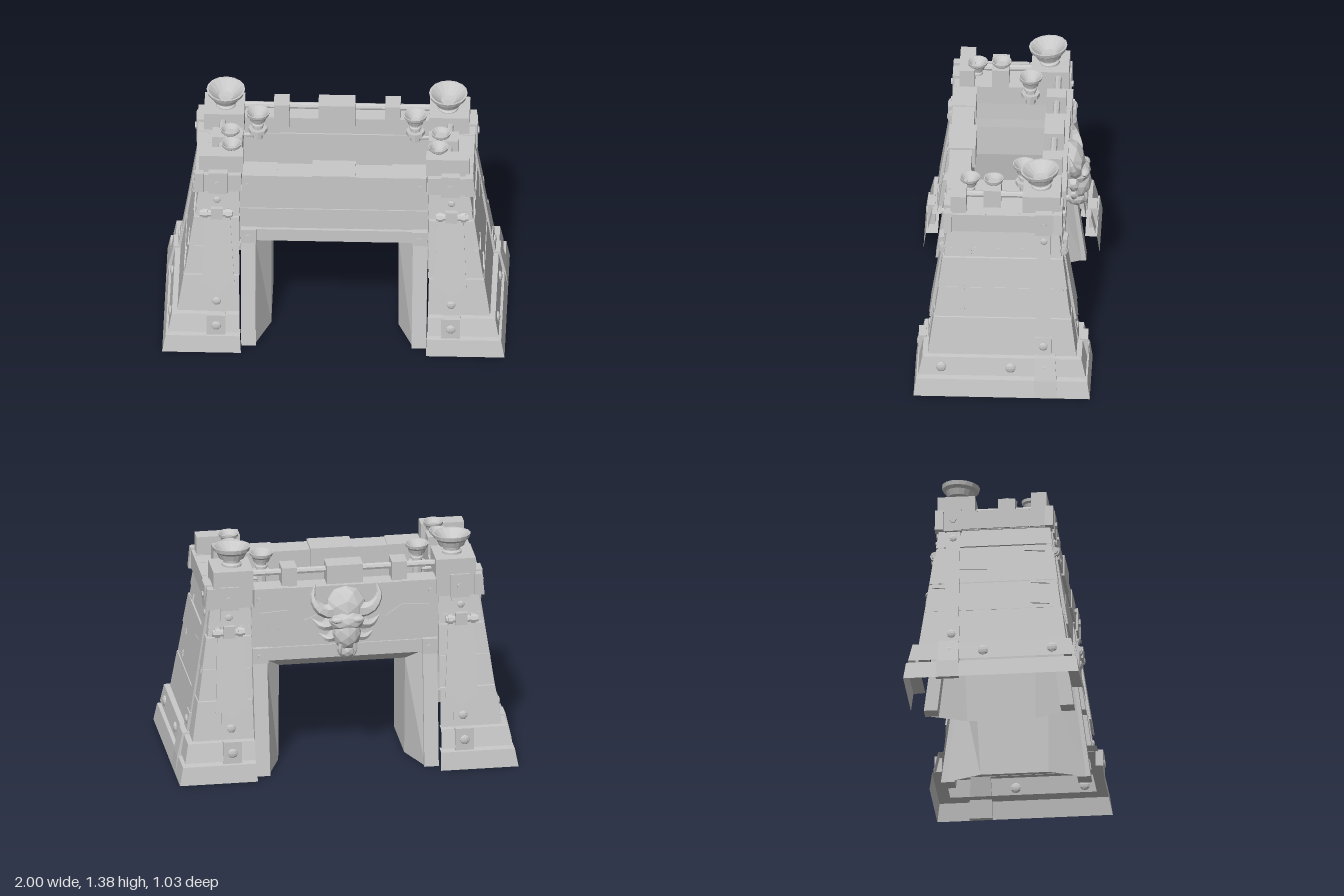
import * as THREE from 'three';

const stone = new THREE.MeshStandardMaterial({ color: 0xc8c8c8, side: THREE.DoubleSide });
stone.name = 'grey stone';

function add(parent, name, geo, x = 0, y = 0, z = 0) {
  const g = geo.index ? geo.toNonIndexed() : geo;
  g.computeVertexNormals(); // faceted look
  const m = new THREE.Mesh(g, stone);
  m.name = name;
  m.position.set(x, y, z);
  parent.add(m);
  return m;
}

function group(parent, name) {
  const g = new THREE.Group();
  g.name = name;
  parent.add(g);
  return g;
}

// rectangular loft; each section is [y, x0, x1, z0, z1]; sides counts faces from the front round to the inner side
function loft(parent, name, secs, caps = true, sides = 4) {
  const pos = [];
  const ring = ([y, a, b, c, d]) => [[a, y, d], [b, y, d], [b, y, c], [a, y, c]];
  const quad = (p, q, r, s) => pos.push(...p, ...q, ...r, ...p, ...r, ...s);
  for (let i = 0; i < secs.length - 1; i++) {
    const l = ring(secs[i]), u = ring(secs[i + 1]);
    for (let k = 0; k < sides; k++) quad(l[k], l[(k + 1) % 4], u[(k + 1) % 4], u[k]);
  }
  if (caps) {
    const b = ring(secs[0]), t = ring(secs[secs.length - 1]);
    quad(t[0], t[1], t[2], t[3]);
    quad(b[3], b[2], b[1], b[0]);
  }
  const g = new THREE.BufferGeometry();
  g.setAttribute('position', new THREE.Float32BufferAttribute(pos, 3));
  return add(parent, name, g);
}

const box = (p, name, x0, x1, y0, y1, z0, z1) => loft(p, name, [[y0, x0, x1, z0, z1], [y1, x0, x1, z0, z1]]);

// hollow course whose top edge turns inward; low courses are open towards the passage
function shell(p, name, lo, hi, inset) {
  const [y, a, b, c, d] = hi;
  loft(p, name, [lo, hi, [y + 0.004, a, b - inset, c + inset, d - inset]], false, y < 0.7 ? 3 : 4);
}

function stud(p, x, y, z, axis, r = 0.03) {
  const m = add(p, 'stud', new THREE.SphereGeometry(r, 10, 6), x, y, z);
  m.scale[axis] = 0.45;
}

function bolt(p, x, y, z, axis, r = 0.02) {
  const m = add(p, 'hexBolt', new THREE.CylinderGeometry(r, r, 0.016, 6), x, y, z);
  if (axis === 'z') m.rotation.x = Math.PI / 2; else m.rotation.z = Math.PI / 2;
}

function rod(p, name, a, b, r) {
  const A = new THREE.Vector3(...a), B = new THREE.Vector3(...b), d = B.clone().sub(A);
  const m = add(p, name, new THREE.CylinderGeometry(r, r, d.length(), 8));
  m.position.copy(A).add(B).multiplyScalar(0.5);
  m.quaternion.setFromUnitVectors(new THREE.Vector3(0, 1, 0), d.normalize());
}

// fire bowl: unit profile scaled by radius and height
function bowl(p, name, x, y, z, r, h) {
  const prof = [[0, 0], [0.52, 0], [0.52, 0.12], [0.42, 0.2], [0.45, 0.34], [0.65, 0.4], [0.78, 0.68], [0.94, 0.8], [1, 1], [0.9, 1], [0.38, 0.55], [0, 0.52]];
  return add(p, name, new THREE.LatheGeometry(prof.map(([a, b]) => new THREE.Vector2(a * r, b * h)), 16), x, y, z);
}

function extrude(pts, depth) {
  return new THREE.ExtrudeGeometry(new THREE.Shape(pts.map(([a, b]) => new THREE.Vector2(a, b))), { depth, bevelEnabled: false });
}

const bodyX = (y) => 0.91 - 0.12 * (y - 0.24) / 0.79;
const bodyZ = (y) => 0.43 - 0.105 * (y - 0.24) / 0.79;

// front or back dressing of a tower, built facing +z
function towerFace(p) {
  loft(p, 'strap', [[0.24, 0.63, 0.74, 0.4, bodyZ(0.24) + 0.01], [1.03, 0.63, 0.735, 0.29, bodyZ(1.03) + 0.01]]);
  box(p, 'footPlate', 0.63, 0.74, 0.115, 0.25, 0.45, 0.495);
  stud(p, 0.685, 0.18, 0.493, 'z');
  stud(p, 0.685, 0.31, 0.43, 'z', 0.027);
  stud(p, 0.685, 0.975, 0.343, 'z', 0.022);
  box(p, 'capPlate', 0.625, 0.735, 1.02, 1.165, 0.3, 0.347);
  bolt(p, 0.68, 1.09, 0.35, 'z');
  // banner on its rod
  rod(p, 'bannerRod', [0.595, 0.885, 0.35], [0.785, 0.885, 0.35], 0.022);
  for (const x of [0.62, 0.755]) rod(p, 'rodClamp', [x - 0.014, 0.885, 0.35], [x + 0.014, 0.885, 0.35], 0.03);
  box(p, 'rodBracket', 0.65, 0.72, 0.855, 0.93, 0.32, 0.375);
  const cloth = extrude([[0.61, 0.02], [0.755, 0.02], [0.775, -0.475], [0.755, -0.45], [0.675, -0.515], [0.605, -0.44], [0.58, -0.46]], 0.01);
  add(p, 'banner', cloth, 0, 0.88, 0.35).rotation.x = -0.15;
  // doorway jamb leaning with the tower
  loft(p, 'jamb', [[0, 0.455, 0.54, 0.36, 0.44], [0.69, 0.46, 0.545, 0.28, 0.35]]);
  box(p, 'jambCorner', 0.455, 0.545, 0.68, 0.775, 0.28, 0.362);
  bolt(p, 0.5, 0.725, 0.365, 'z', 0.018);
}

function tower(p) {
  // stepped base and courses
  shell(p, 'base', [0, 0.54, 1, -0.515, 0.515], [0.108, 0.545, 0.98, -0.5, 0.5], 0.07);
  shell(p, 'baseBand', [0.128, 0.55, 0.965, -0.49, 0.49], [0.24, 0.55, 0.945, -0.465, 0.465], 0.06);
  const ys = [0.24, 0.48, 0.67, 0.86, 0.92, 1.035];
  for (let i = 0; i < ys.length - 1; i++) {
    const [a, b] = [ys[i], ys[i + 1] - 0.004], o = [0.004, 0, 0.004, -0.004, 0.002][i];
    shell(p, 'course', [a, 0.55, bodyX(a) + o, -bodyZ(a) - o, bodyZ(a) + o], [b, 0.555, bodyX(b) + o, -bodyZ(b) - o, bodyZ(b) + o], 0.03);
  }
  // cap band with separate blocks
  box(p, 'capBand', 0.545, 0.8, 1.03, 1.145, -0.335, 0.335);
  for (const [a, b] of [[0.21, 0.295], [0.1, 0.205], [-0.095, 0.095], [-0.19, -0.1]]) box(p, 'capBlock', 0.74, 0.81, 1.034, 1.15, a, b);
  for (const f of [1, -1]) {
    const [c, d] = f > 0 ? [0.298, 0.347] : [-0.347, -0.298];
    loft(p, 'capCorner', [[1.03, 0.765, 0.825, c, d], [1.16, 0.765, 0.813, c, d]]);
  }
  // side strap
  loft(p, 'sideStrap', [[0.24, 0.87, bodyX(0.24) + 0.014, -0.285, -0.2], [1.03, 0.75, bodyX(1.03) + 0.014, -0.28, -0.2]]);
  loft(p, 'sideStrapFoot', [[0, 0.97, 1, -0.325, -0.19], [0.11, 0.95, 0.987, -0.32, -0.19], [0.25, 0.91, 0.955, -0.31, -0.195]]);
  box(p, 'sideCapPlate', 0.77, 0.822, 1.02, 1.165, -0.29, -0.19);
  loft(p, 'sideStudPlate', [[0.26, 0.87, bodyX(0.26) + 0.02, -0.29, -0.195], [0.365, 0.86, bodyX(0.365) + 0.02, -0.29, -0.195]]);
  bolt(p, 0.823, 1.09, -0.24, 'x');
  stud(p, 0.812, 0.975, -0.24, 'x', 0.022);
  stud(p, 0.92, 0.31, -0.24, 'x', 0.027);
  for (const z of [0.355, -0.05, -0.25]) stud(p, 0.957, 0.18, z, 'x', 0.032);
  // chipped slabs lying on the outer face
  for (const [z, y, l] of [[0.33, 0.64, 0.11], [0.33, 0.5, 0.11], [-0.04, 0.755, 0.2], [0.3, 0.865, 0.12], [-0.27, 0.63, 0.09]]) {
    const chip = add(p, 'chip', extrude([[0, 0], [l, 0.01], [l * 0.95, 0.05], [l * 0.7, 0.02]], 0.009), bodyX(y) - 0.001, y, z);
    chip.rotation.set(0, Math.PI / 2, 0.151, 'ZYX');
  }
  // battlements and rail
  box(p, 'rearMerlon', 0.54, 0.775, 1.14, 1.26, -0.335, -0.115);
  box(p, 'middleMerlon', 0.545, 0.72, 1.14, 1.26, 0.015, 0.115);
  box(p, 'frontMerlon', 0.535, 0.79, 1.14, 1.26, 0.215, 0.305);
  rod(p, 'sideRail', [0.665, 1.205, -0.12], [0.665, 1.205, 0.25], 0.02);
  bowl(p, 'largeBowl', 0.65, 1.255, -0.22, 0.113, 0.12).rotation.x = 0.08;
  bowl(p, 'smallBowl', 0.615, 1.2, 0.06, 0.058, 0.085);
  bowl(p, 'smallBowl', 0.605, 1.2, 0.2, 0.06, 0.085);
  // hanging bowl on a bracket
  bowl(p, 'wallBowl', 0.46, 1.19, -0.115, 0.07, 0.095);
  rod(p, 'wallBowlStem', [0.46, 1.1, -0.115], [0.46, 1.2, -0.115], 0.03);
  rod(p, 'wallBowlCollar', [0.46, 1.145, -0.115], [0.46, 1.17, -0.115], 0.055);
  rod(p, 'wallBowlBracket', [0.46, 1.12, -0.115], [0.56, 1.12, -0.115], 0.012);
  for (const f of [1, -1]) {
    const side = group(p, f > 0 ? 'towerFront' : 'towerBack');
    towerFace(side);
    side.scale.z = f;
  }
}

// splayed tunnel lining: each station is [z at floor, z at top, half width, height]
function passage(p) {
  const st = [[0.42, 0.33, 0.46, 0.69], [0.2, 0.2, 0.372, 0.61], [-0.2, -0.23, 0.372, 0.61], [-0.42, -0.33, 0.46, 0.69]];
  const pos = [], idx = [];
  for (const [zb, zt, w, h] of st) pos.push(-w, 0, zb, -w, h, zt, w, h, zt, w, 0, zb);
  for (let i = 0; i < 3; i++) for (let k = 0; k < 3; k++) {
    const a = i * 4 + k;
    idx.push(a, a + 4, a + 1, a + 1, a + 4, a + 5);
  }
  const g = new THREE.BufferGeometry();
  g.setAttribute('position', new THREE.Float32BufferAttribute(pos, 3));
  g.setIndex(idx);
  add(p, 'passageLining', g);
}

// curved tapering horn
function horn(p, name, pts, r) {
  const c = new THREE.CatmullRomCurve3(pts.map((v) => new THREE.Vector3(...v)));
  const g = new THREE.TubeGeometry(c, 8, r, 6), a = g.attributes.position, v = new THREE.Vector3();
  for (let i = 0; i < a.count; i++) {
    const t = Math.floor(i / 7) / 8;
    v.fromBufferAttribute(a, i).lerp(c.getPointAt(t), t * 0.95);
    a.setXYZ(i, v.x, v.y, v.z);
  }
  add(p, name, g);
}

function beastHead(p) {
  const blob = (name, x, y, z, a, b, c) => add(p, name, new THREE.IcosahedronGeometry(1, 1), x, y, z).scale.set(a, b, c);
  blob('skull', 0, 1.0, -0.355, 0.13, 0.14, 0.1);
  blob('brow', 0, 0.945, -0.41, 0.105, 0.07, 0.075);
  blob('snout', 0, 0.87, -0.41, 0.085, 0.11, 0.08);
  blob('jaw', 0, 0.765, -0.4, 0.06, 0.06, 0.065);
  for (const s of [1, -1]) {
    horn(p, 'horn', [[s * 0.06, 1.0, -0.38], [s * 0.14, 1.01, -0.4], [s * 0.195, 1.08, -0.385], [s * 0.18, 1.16, -0.36]], 0.055);
    horn(p, 'cheekSpike', [[s * 0.06, 0.93, -0.37], [s * 0.14, 0.91, -0.39], [s * 0.2, 0.95, -0.37]], 0.055);
    horn(p, 'cheekSpike', [[s * 0.05, 0.85, -0.37], [s * 0.11, 0.83, -0.39], [s * 0.16, 0.86, -0.38]], 0.045);
    horn(p, 'fang', [[s * 0.04, 0.82, -0.455], [s * 0.045, 0.77, -0.46], [s * 0.03, 0.73, -0.45]], 0.018);
    blob('browRidge', s * 0.055, 0.965, -0.45, 0.045, 0.022, 0.03);
    // carved wing relief
    const wing = extrude([[0.12, 0.98], [0.24, 0.93], [0.34, 1.0], [0.5, 0.99], [0.44, 0.94], [0.47, 0.86], [0.4, 0.9], [0.37, 0.81], [0.31, 0.87], [0.25, 0.8], [0.22, 0.87], [0.12, 0.86]].map(([x, y]) => [s * x, y]), 0.012);
    add(p, 'wingRelief', wing, 0, 0, -0.343);
  }
}

function gateWalls(p) {
  // front wall: core, separate stones, lintel and top band
  box(p, 'frontCore', -0.55, 0.55, 0.69, 1.04, 0.21, 0.318);
  const rows = [[0.77, 0.905, [-0.55, -0.29, 0.12, 0.3, 0.55]], [0.911, 1.035, [-0.55, -0.13, 0.13, 0.55]]];
  for (const [y0, y1, xs] of rows) for (let i = 0; i < xs.length - 1; i++) box(p, 'wallStone', xs[i] + 0.003, xs[i + 1] - 0.003, y0, y1, 0.3, 0.326);
  box(p, 'backCore', -0.55, 0.55, 0.69, 1.04, -0.335, -0.24);
  box(p, 'frontLintel', -0.46, 0.46, 0.69, 0.77, 0.28, 0.345);
  box(p, 'backLintel', -0.46, 0.46, 0.69, 0.77, -0.345, -0.27);
  box(p, 'frontBand', -0.54, 0.54, 1.04, 1.145, 0.205, 0.335);
  box(p, 'frontCentreBlock', -0.13, 0.122, 1.025, 1.158, 0.185, 0.345);
  box(p, 'backBand', -0.54, 0.54, 1.04, 1.145, -0.355, -0.25);
  box(p, 'backCentreMerlon', -0.11, 0.105, 1.1, 1.26, -0.33, -0.215);
  for (const s of [1, -1]) {
    const m = s * 0.325, b = s * 0.435;
    box(p, 'backMerlon', m - 0.045, m + 0.045, 1.1, 1.26, -0.33, -0.215);
    box(p, 'frontBandBlock', b - 0.1, b + 0.1, 1.035, 1.15, 0.2, 0.341);
    box(p, 'backBandBlock', b - 0.1, b + 0.1, 1.035, 1.15, -0.362, -0.245);
    bolt(p, s * 0.505, 1.085, 0.343, 'z', 0.015);
    bolt(p, s * 0.505, 1.085, -0.364, 'z', 0.015);
  }
  rod(p, 'backRail', [-0.55, 1.22, -0.275], [0.55, 1.22, -0.275], 0.02);
}

export function createModel() {
  const root = new THREE.Group();
  root.name = 'fortressGate';
  for (const s of [1, -1]) {
    const t = group(root, s > 0 ? 'leftTower' : 'rightTower');
    tower(t);
    t.scale.x = s;
  }
  passage(group(root, 'passage'));
  gateWalls(group(root, 'gateWalls'));
  beastHead(group(root, 'beastHead'));
  return root;
}
